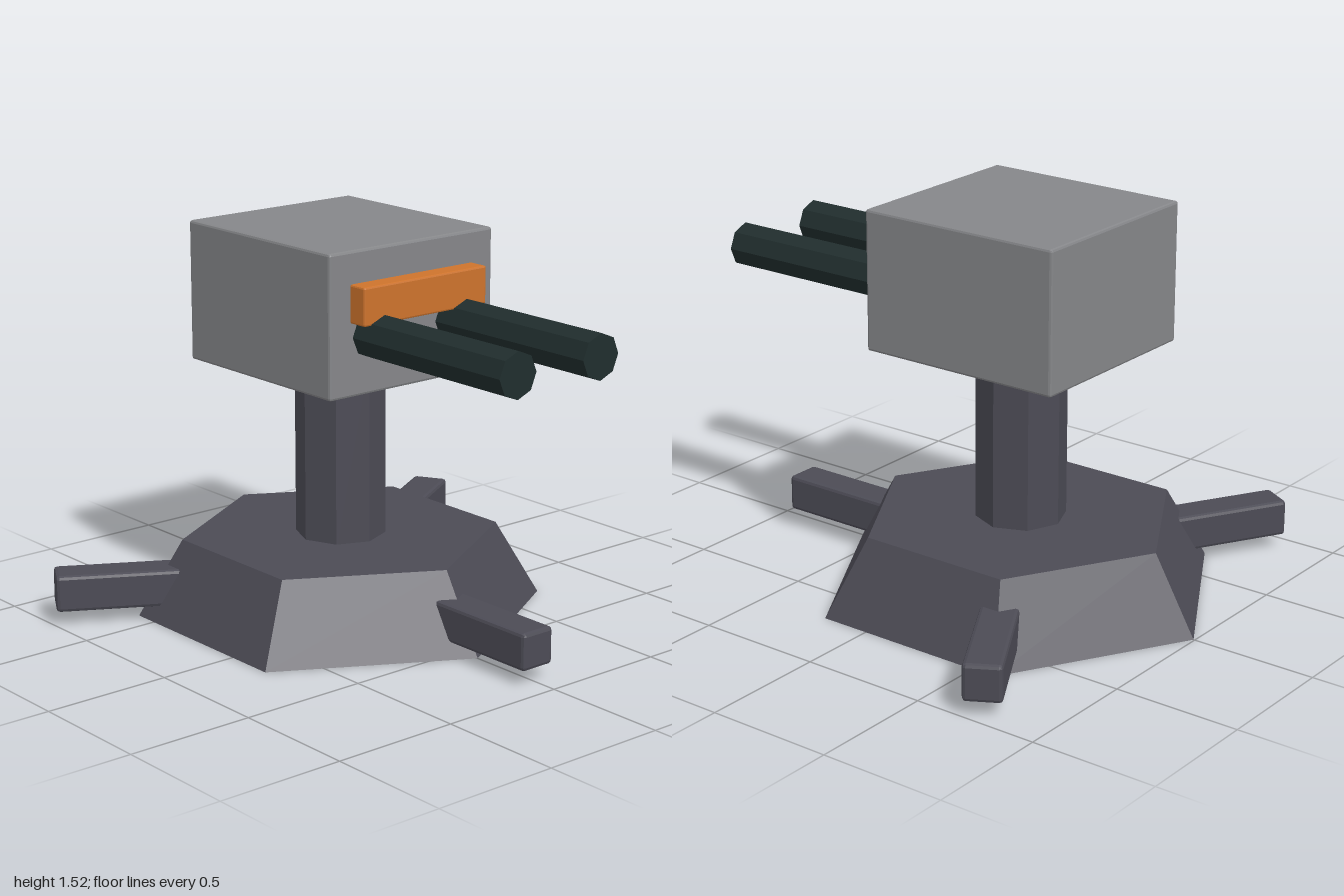
import * as THREE from 'three';
import { RoundedBoxGeometry } from 'three/addons/geometries/RoundedBoxGeometry.js';

const material = (name, color) => {
  const m = new THREE.MeshStandardMaterial({ color });
  m.name = name;
  return m;
};

// Faceted normals for a low-poly look
function faceted(geometry) {
  const g = geometry.index ? geometry.toNonIndexed() : geometry;
  g.computeVertexNormals();
  return g;
}

function part(parent, name, geometry, mat, x, y, z) {
  const mesh = new THREE.Mesh(faceted(geometry), mat);
  mesh.name = name;
  mesh.position.set(x, y, z);
  parent.add(mesh);
  return mesh;
}

const bevelBox = (w, h, d, r) => new RoundedBoxGeometry(w, h, d, 1, r);

export function createModel() {
  const darkMetal = material('dark metal', 0x4c4b55);
  const greyMetal = material('grey metal', 0x858689);
  const gunMetal = material('gun metal', 0x202d2d);
  const orange = material('orange paint', 0xcd732c);

  const model = new THREE.Group();
  model.name = 'turret';
  const axisZ = -0.2;

  // Hexagonal foot and octagonal column
  part(model, 'base', new THREE.CylinderGeometry(0.62, 0.795, 0.3, 6), darkMetal, 0, 0.15, axisZ);
  part(model, 'column', new THREE.CylinderGeometry(0.175, 0.175, 0.75, 8), darkMetal, 0, 0.655, axisZ);

  // Three legs radiating from the corners of the base
  for (let i = 0; i < 3; i++) {
    const leg = new THREE.Group();
    leg.name = 'leg' + (i + 1);
    leg.position.set(0, 0.128, axisZ);
    leg.rotation.y = (i * Math.PI * 2) / 3;
    part(leg, 'legBeam', bevelBox(0.145, 0.145, 0.615, 0.014), darkMetal, 0, 0, 0.8075);
    model.add(leg);
  }

  // Gun housing and its front plate
  part(model, 'housing', bevelBox(0.79, 0.545, 0.84, 0.01), greyMetal, 0, 1.248, axisZ);
  part(model, 'frontPlate', bevelBox(0.594, 0.145, 0.14, 0.007), orange, 0, 1.325, 0.227);

  // Twin barrels
  for (const side of [-1, 1]) {
    const barrel = new THREE.CylinderGeometry(0.087, 0.087, 0.84, 8).rotateX(Math.PI / 2);
    part(model, side > 0 ? 'leftBarrel' : 'rightBarrel', barrel, gunMetal, side * 0.2, 1.198, 0.577);
  }
  return model;
}
